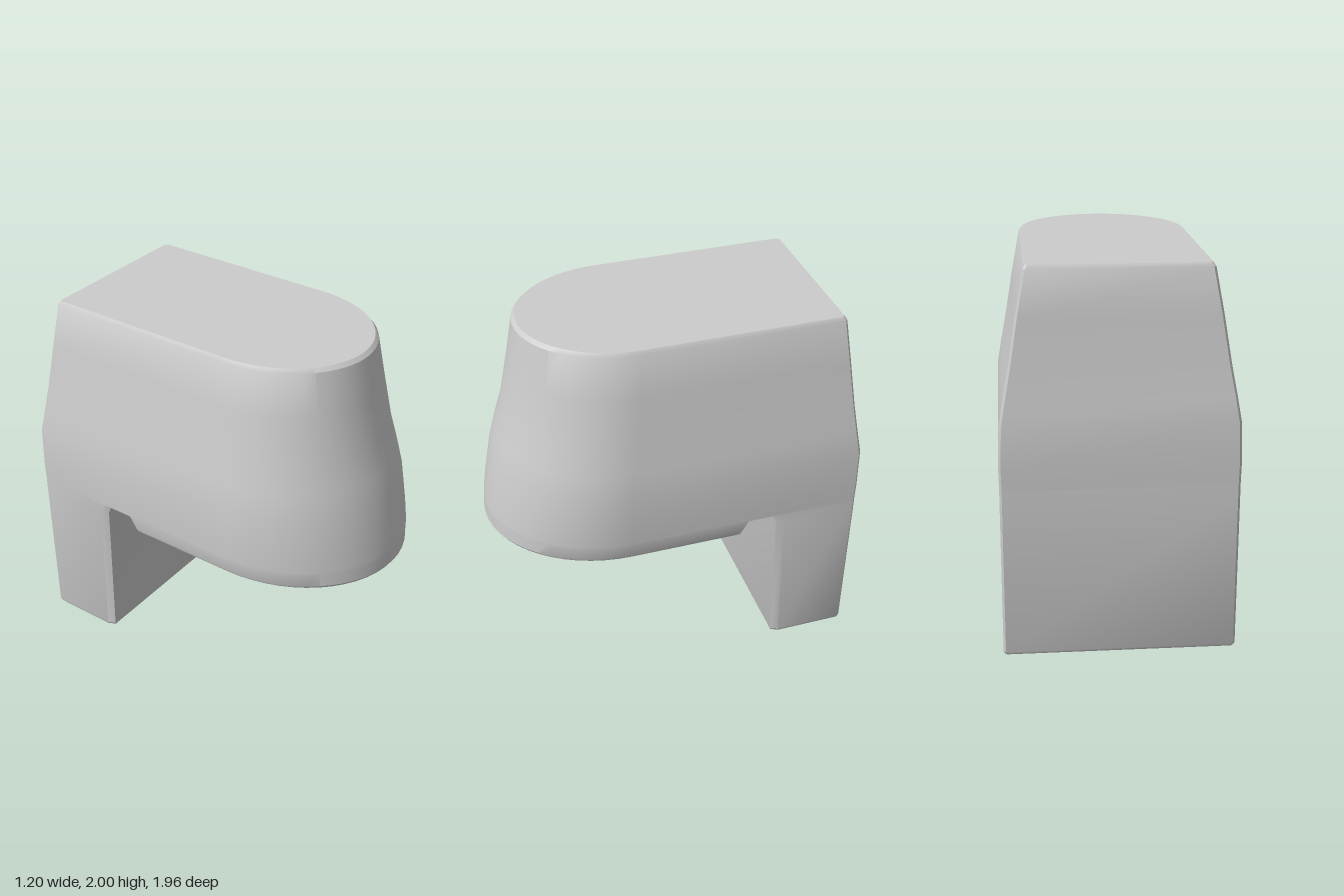
import * as THREE from 'three';
import { toCreasedNormals } from 'three/addons/utils/BufferGeometryUtils.js';

const material = new THREE.MeshStandardMaterial({ color: 0xcccccc });

// U-shaped outline: straight back and sides, elliptical nose starting at zArc
function uSection(halfWidth, zBack, zArc, zFront, chamfer = 0.012, steps = 28) {
  const points = [
    [-halfWidth, zBack + chamfer], [-halfWidth + chamfer, zBack],
    [halfWidth - chamfer, zBack], [halfWidth, zBack + chamfer],
  ];
  for (let i = 0; i <= steps; i++) {
    const a = (i / steps) * Math.PI;
    points.push([halfWidth * Math.cos(a), zArc + (zFront - zArc) * Math.sin(a)]);
  }
  return points;
}

// Rectangular outline with chamfered front corners
function slabSection(halfWidth, zBack, zFront, chamfer = 0.04) {
  const b = 0.012;
  return [
    [-halfWidth, zBack + b], [-halfWidth + b, zBack],
    [halfWidth - b, zBack], [halfWidth, zBack + b],
    [halfWidth, zFront - chamfer], [halfWidth - chamfer / 2, zFront],
    [-halfWidth + chamfer / 2, zFront], [-halfWidth, zFront - chamfer],
  ];
}

// Skin a stack of [y, outline] rings and close both ends
function loft(name, rings) {
  const positions = [];
  const add = (...vertices) => vertices.forEach((v) => positions.push(...v));
  const at = (r, j) => {
    const [y, outline] = rings[r];
    const [x, z] = outline[j % outline.length];
    return [x, y, z];
  };
  const count = rings[0][1].length;
  const last = rings.length - 1;
  for (let j = 0; j < count; j++) {
    for (let r = 0; r < last; r++) {
      const a = at(r, j), b = at(r, j + 1), c = at(r + 1, j), d = at(r + 1, j + 1);
      add(a, c, b, b, c, d);
    }
    add([0, rings[0][0], at(0, 0)[2] + 0.1], at(0, j), at(0, j + 1));
    add([0, rings[last][0], at(last, 0)[2] + 0.1], at(last, j + 1), at(last, j));
  }
  const geometry = new THREE.BufferGeometry();
  geometry.setAttribute('position', new THREE.Float32BufferAttribute(positions, 3));
  const mesh = new THREE.Mesh(toCreasedNormals(geometry, 0.5), material);
  mesh.name = name;
  return mesh;
}

export function createModel() {
  const group = new THREE.Group();
  group.name = 'hoodedBlock';

  // Tapering upper body: y, half width, back z, start of nose, front z
  const bodyRings = [
    [0.90, 0.598, -0.972, 0.30, 0.975],
    [1.00, 0.600, -0.974, 0.30, 0.96],
    [1.22, 0.594, -0.975, 0.29, 0.92],
    [1.35, 0.573, -0.955, 0.28, 0.885],
    [1.50, 0.545, -0.935, 0.26, 0.84],
    [1.75, 0.505, -0.907, 0.23, 0.79],
    [1.98, 0.463, -0.882, 0.20, 0.75],
    [2.00, 0.450, -0.870, 0.20, 0.73],
  ];
  group.add(loft('upperBody', bodyRings.map(([y, ...s]) => [y, uSection(...s)])));

  // Slightly inset plate under the overhang, leaving a notch before the leg
  group.add(loft('underside', [
    [0.80, uSection(0.575, -0.355, 0.30, 0.97, 0.05)],
    [0.815, uSection(0.582, -0.36, 0.30, 0.98, 0.05)],
    [0.90, uSection(0.586, -0.41, 0.30, 0.975, 0.05)],
  ]));

  // Rear slab leg
  group.add(loft('rearLeg', [
    [0.005, slabSection(0.59, -0.955, -0.535)],
    [0.02, slabSection(0.597, -0.962, -0.53)],
    [0.84, slabSection(0.598, -0.972, -0.515)],
    [0.90, slabSection(0.598, -0.972, -0.49)],
  ]));

  return group;
}
